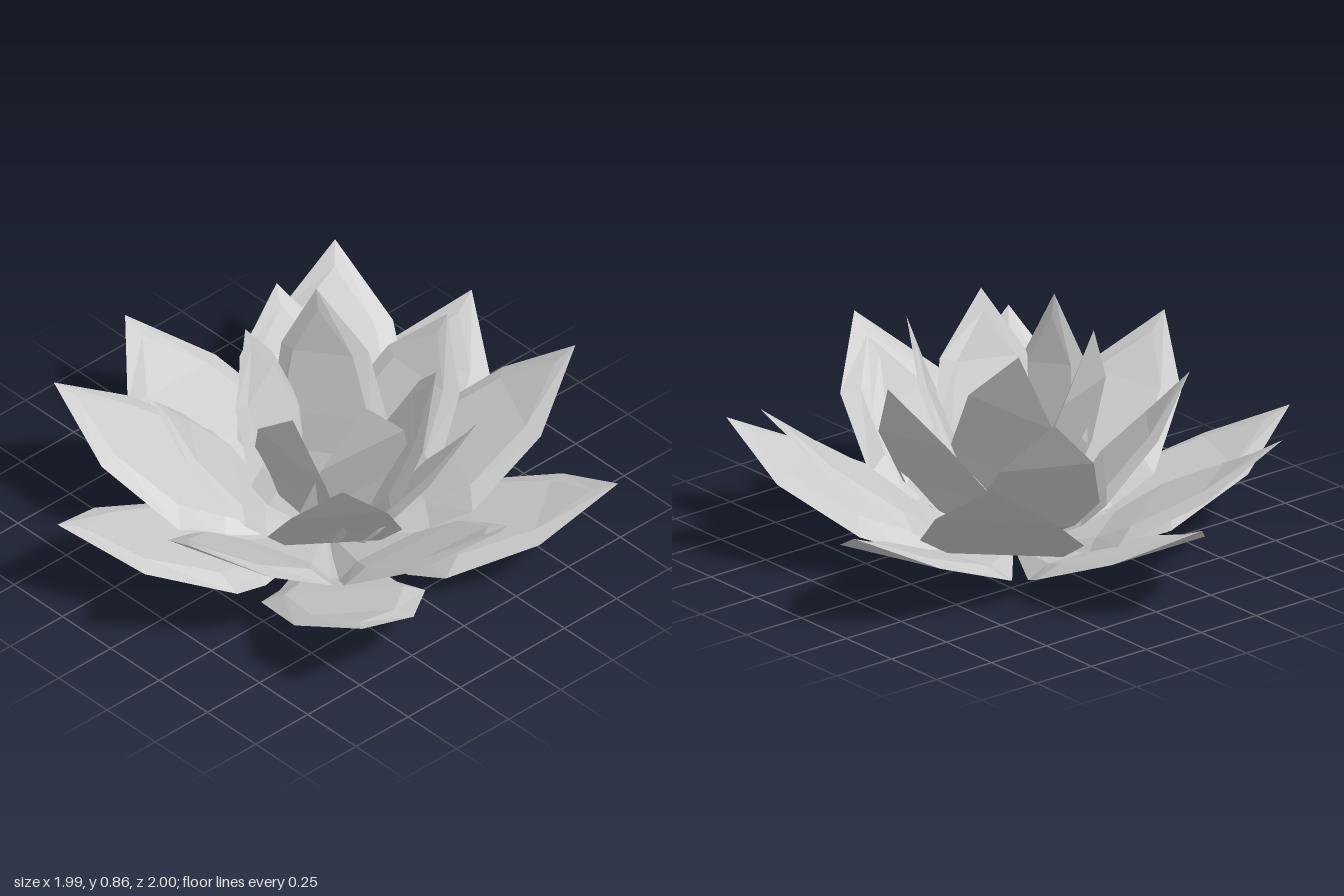
import * as THREE from 'three';

const material = new THREE.MeshStandardMaterial({ color: 0xcccccc, flatShading: true, side: THREE.DoubleSide });

// Petal lying along +z: [outer z, outer y, outer half width, inner z, inner y, inner half width]
const rows = [
  [0, 0, 0, 0.02, 0.01, 0],
  [0.33, 0.03, 0.205, 0.35, 0.08, 0.13],
  [0.48, 0.1, 0.29, 0.51, 0.15, 0.21],
  [0.8, 0.235, 0.21, 0.77, 0.25, 0.145],
  [1.04, 0.385, 0, 0.95, 0.345, 0],
];
const TIP_LENGTH = Math.hypot(1.04, 0.385);
const TIP_SLOPE = Math.atan2(0.385, 1.04);

// Closed petal: flat outer skin, bevelled rim and inset inner panel; its tip ends on the z axis
function petalGeometry() {
  const positions = [];
  const index = [];
  for (const [oz, oy, ow, iz, iy, iw] of rows) {
    positions.push(-ow, oy, oz, -iw, iy, iz, iw, iy, iz, ow, oy, oz);
  }
  for (let i = 0; i < rows.length - 1; i++) {
    for (let j = 0; j < 4; j++) {
      const a = i * 4 + j, b = i * 4 + ((j + 1) % 4);
      index.push(a, a + 4, b, b, a + 4, b + 4);
    }
  }
  const indexed = new THREE.BufferGeometry();
  indexed.setAttribute('position', new THREE.Float32BufferAttribute(positions, 3));
  indexed.setIndex(index);
  const geometry = indexed.toNonIndexed().rotateX(TIP_SLOPE);
  geometry.computeVertexNormals();
  return geometry;
}

// Petals of each ring: tip x, y, z measured from the flower's heart, then roll about the petal's axis
const rings = {
  lowerPetals: Array.from({ length: 5 }, (_, k) => {
    const a = Math.PI + (k * Math.PI * 2) / 5;
    return [1.045 * Math.sin(a), 0.387, 1.045 * Math.cos(a), 0];
  }),
  upperPetals: [
    [0.66, 0.59, -0.67, 0], [0.84, 0.62, 0.38, 0], [-0.06, 0.585, 0.955, 0],
    [-0.91, 0.585, 0.27, 0], [-0.56, 0.515, -0.81, 0],
  ],
  innerPetals: [
    [0.25, 0.69, -0.53, 0], [0.54, 0.725, 0.04, 0.2], [0.22, 0.69, 0.54, 0],
    [-0.38, 0.67, 0.49, 0], [-0.5, 0.655, -0.37, 0],
  ],
  heartPetals: [
    [0.19, 0.85, -0.26, -0.58], [0.2, 0.82, 0.35, 0.37], [-0.14, 0.84, 0.35, 0.23],
    [-0.35, 0.81, 0.2, -0.52], [-0.16, 0.86, -0.25, -0.14],
  ],
};

export function createModel() {
  const flower = new THREE.Group();
  flower.name = 'flower';
  const geometry = petalGeometry();

  for (const [name, petals] of Object.entries(rings)) {
    const ring = new THREE.Group();
    ring.name = name;
    ring.position.z = 0.04;
    for (const [x, y, z, roll] of petals) {
      // Turn, tilt, roll and scale the petal so that it ends at its tip
      const petal = new THREE.Mesh(geometry, material);
      petal.name = 'petal';
      petal.rotation.set(-Math.atan2(y, Math.hypot(x, z)), Math.atan2(x, z), roll, 'YXZ');
      petal.scale.setScalar(Math.hypot(x, y, z) / TIP_LENGTH);
      ring.add(petal);
    }
    flower.add(ring);
  }
  return flower;
}
